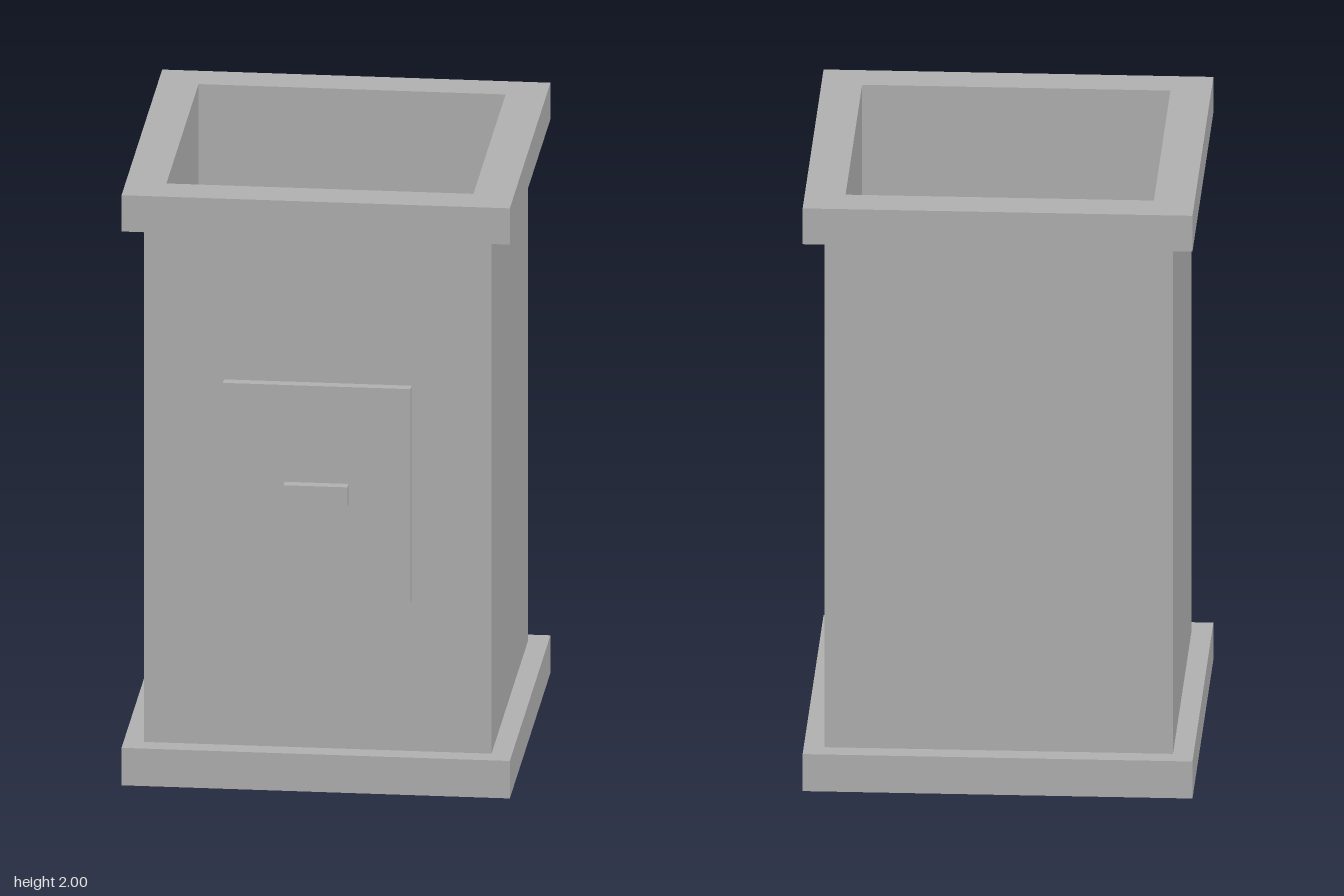
import * as THREE from 'three';

const CX = -0.003; // the body sits a hair off centre

// Square ring of a given outer and inner half-width, standing from y0 to y1
function squareRing(name, outer, inner, y0, y1, material) {
  const square = (Type, r) => new Type([[-r, -r], [r, -r], [r, r], [-r, r]].map(([x, y]) => new THREE.Vector2(x, y)));
  const shape = square(THREE.Shape, outer);
  shape.holes.push(square(THREE.Path, inner));
  const geometry = new THREE.ExtrudeGeometry(shape, { depth: y1 - y0, bevelEnabled: false });
  geometry.rotateX(-Math.PI / 2);
  const mesh = new THREE.Mesh(geometry, material);
  mesh.name = name;
  mesh.position.set(CX, y0, 0);
  return mesh;
}

// Box spanning z0 to z1 on the front wall
function frontBox(name, width, height, y, z0, z1, material) {
  const mesh = new THREE.Mesh(new THREE.BoxGeometry(width, height, z1 - z0), material);
  mesh.name = name;
  mesh.position.set(CX, y, (z0 + z1) / 2);
  return mesh;
}

export function createModel() {
  const group = new THREE.Group();
  group.name = 'squareChimney';
  const grey = new THREE.MeshStandardMaterial({ color: 0xb2b2b2 });
  grey.name = 'lightGrey';

  // Hollow shaft, open at both ends, with a collar at each end
  group.add(squareRing('shaft', 0.56, 0.495, 0.005, 2, grey));
  group.add(squareRing('bottomCollar', 0.626, 0.56, 0, 0.127, grey));
  group.add(squareRing('topCollar', 0.626, 0.56, 1.877, 2, grey));

  // Access door and its handle
  group.add(frontBox('door', 0.605, 0.724, 1.003, 0.56, 0.595, grey));
  group.add(frontBox('handle', 0.206, 0.068, 1.003, 0.595, 0.63, grey));
  return group;
}
